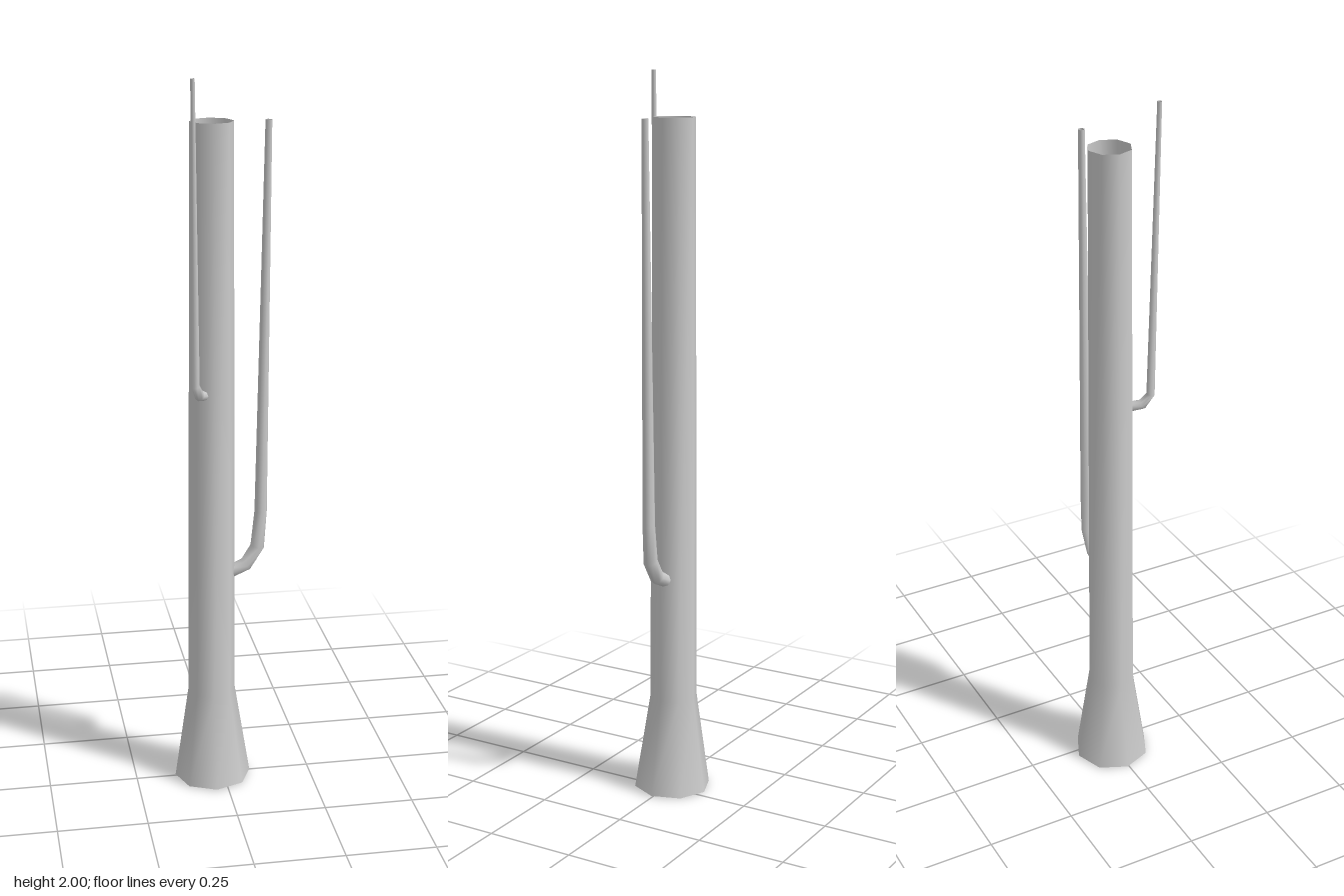
import * as THREE from 'three';

const material = new THREE.MeshStandardMaterial({ color: 0xcccccc, side: THREE.DoubleSide });

// Open tapered pipe through rings of [x, y, z, radius]; "side" stays in every ring's plane
function pipe(name, rings, sides, side) {
  const centres = rings.map(([x, y, z]) => new THREE.Vector3(x, y, z));
  const positions = [], indices = [];
  centres.forEach((centre, i) => {
    const incoming = i > 0 ? centre.clone().sub(centres[i - 1]).normalize() : new THREE.Vector3();
    const outgoing = i < centres.length - 1 ? centres[i + 1].clone().sub(centre).normalize() : new THREE.Vector3();
    const tangent = incoming.add(outgoing).normalize();
    const across = side.clone().addScaledVector(tangent, -side.dot(tangent)).normalize();
    const normal = tangent.clone().cross(across);
    for (let j = 0; j < sides; j++) {
      const angle = (j / sides) * Math.PI * 2;
      const p = centre.clone()
        .addScaledVector(across, Math.cos(angle) * rings[i][3])
        .addScaledVector(normal, Math.sin(angle) * rings[i][3]);
      positions.push(p.x, p.y, p.z);
      if (i < centres.length - 1) {
        const a = i * sides + j, b = i * sides + (j + 1) % sides;
        indices.push(a, b, b + sides, a, b + sides, a + sides);
      }
    }
  });
  const geometry = new THREE.BufferGeometry();
  geometry.setAttribute('position', new THREE.Float32BufferAttribute(positions, 3));
  geometry.setIndex(indices);
  geometry.computeVertexNormals();
  const mesh = new THREE.Mesh(geometry, material);
  mesh.name = name;
  return mesh;
}

export function createModel() {
  const group = new THREE.Group();
  group.name = 'branchedTrunk';

  // Hollow octagonal trunk with a flared foot
  group.add(pipe('trunk', [
    [-0.029, 0, -0.001, 0.108],
    [-0.031, 0.27, -0.004, 0.067],
    [-0.027, 1.88, -0.008, 0.058],
  ], 8, new THREE.Vector3(1, 0, 0.04)));

  // Long branch bending up from the left of the trunk
  group.add(pipe('leftBranch', [
    [0.027, 0.625, -0.01, 0.019],
    [0.068, 0.643, -0.01, 0.02],
    [0.1, 0.695, -0.009, 0.02],
    [0.109, 0.8, -0.009, 0.0175],
    [0.123, 1.88, -0.009, 0.009],
  ], 8, new THREE.Vector3(0, 0, 1)));

  // Thinner branch higher up at the front right
  group.add(pipe('frontRightBranch', [
    [-0.055, 1.156, 0.035, 0.014],
    [-0.073, 1.165, 0.067, 0.014],
    [-0.086, 1.197, 0.084, 0.0115],
    [-0.092, 2.0, 0.095, 0.006],
  ], 8, new THREE.Vector3(0.87, 0, 0.5)));

  return group;
}
